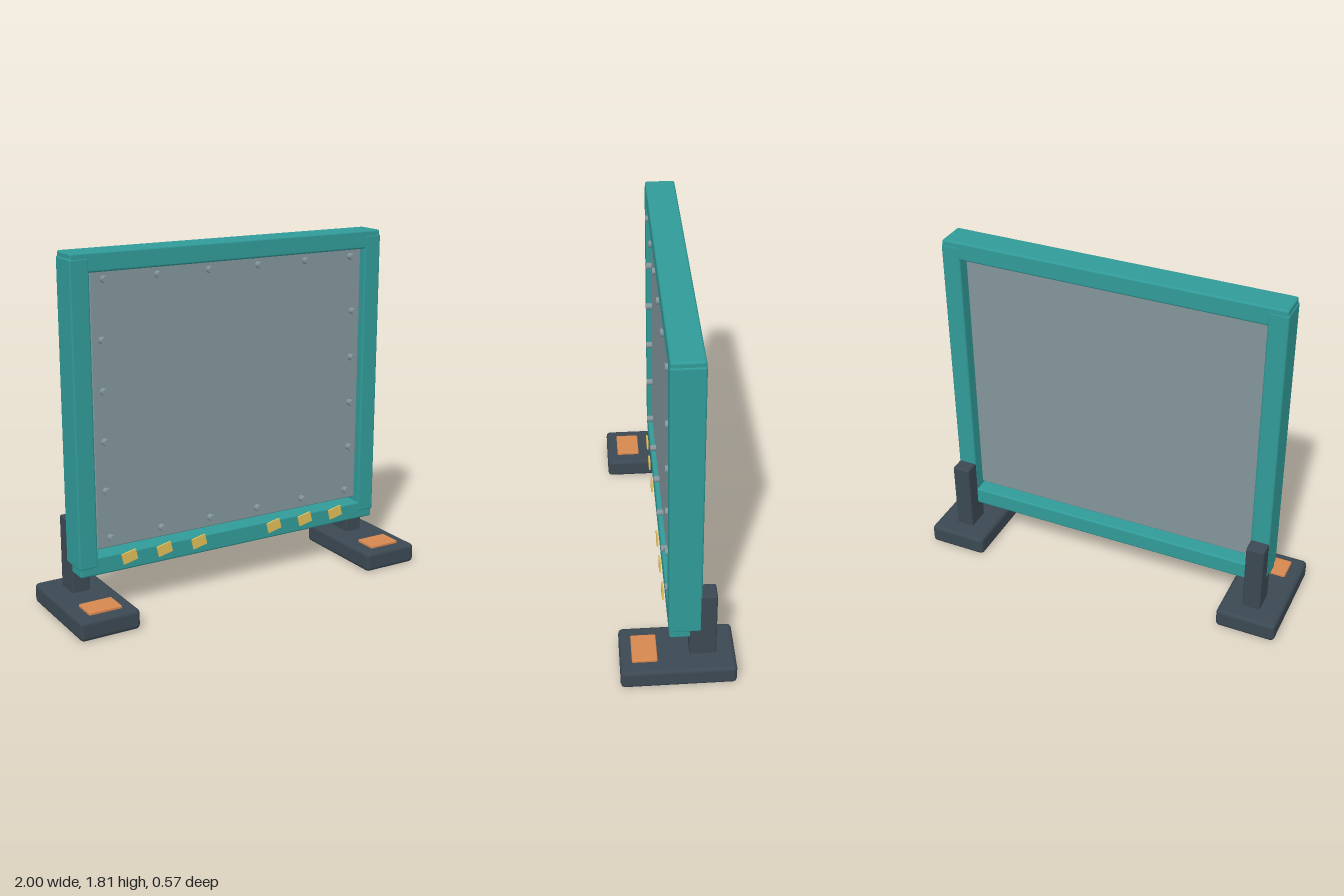
import * as THREE from 'three';
import { RoundedBoxGeometry } from 'three/addons/geometries/RoundedBoxGeometry.js';

const mat = (name, color) => {
  const m = new THREE.MeshStandardMaterial({ color });
  m.name = name;
  return m;
};

export function createModel() {
  const group = new THREE.Group();
  const teal = mat('teal frame', 0x309a98);
  const slate = mat('slate panel', 0x82959b);
  const dark = mat('dark base', 0x3b4852);
  const orange = mat('orange pad', 0xd6874f);
  const yellow = mat('yellow tag', 0xdfbd57);

  const add = (name, geometry, material, x, y, z) => {
    const mesh = new THREE.Mesh(geometry, material);
    mesh.name = name;
    mesh.position.set(x, y, z);
    group.add(mesh);
    return mesh;
  };
  const box = (w, h, d, r) => new RoundedBoxGeometry(w, h, d, 2, r);

  // Frame rails and the thick panel set back between them
  const frameZ = -0.037;
  add('topRail', box(1.77, 0.096, 0.156, 0.011), teal, 0, 1.762, frameZ);
  add('bottomRail', box(1.77, 0.096, 0.156, 0.011), teal, 0, 0.262, frameZ);
  add('panel', box(1.562, 1.384, 0.09, 0.006), slate, 0, 1.032, -0.027);

  // Both sides: frame post, upright support, foot and pad
  for (const [side, s] of [['left', 1], ['right', -1]]) {
    add(side + 'Post', box(0.099, 1.53, 0.16, 0.01), teal, s * 0.8405, 1.02, frameZ);
    add(side + 'Support', box(0.096, 0.4, 0.134, 0.01), dark, s * 0.8405, 0.28, -0.125);
    add(side + 'Foot', box(0.317, 0.104, 0.571, 0.022), dark, s * 0.8415, 0.052, 0);
    add(side + 'Pad', box(0.175, 0.022, 0.126, 0.006), orange, s * 0.8415, 0.107, 0.164);
  }

  // Bolts around the panel border, standing out from its face
  const boltGeometry = new THREE.CylinderGeometry(0.0175, 0.0175, 0.04, 10).rotateX(Math.PI / 2);
  const bolt = (x, y) => add('bolt', boltGeometry, slate, x, y, 0.031);
  for (let i = 0; i < 6; i++) {
    const x = -0.71 + i * 0.284;
    bolt(x, 1.678);
    bolt(x, 0.393);
  }
  for (const y of [0.638, 0.888, 1.138, 1.388]) {
    bolt(-0.728, y);
    bolt(0.728, y);
  }

  // Tilted tags on the bottom rail
  const tagGeometry = new THREE.BoxGeometry(0.08, 0.055, 0.009);
  for (const x of [-0.625, -0.428, -0.228, 0.228, 0.426, 0.625]) {
    add('tag', tagGeometry, yellow, x, 0.286, 0.056).rotation.z = 0.22;
  }

  return group;
}
